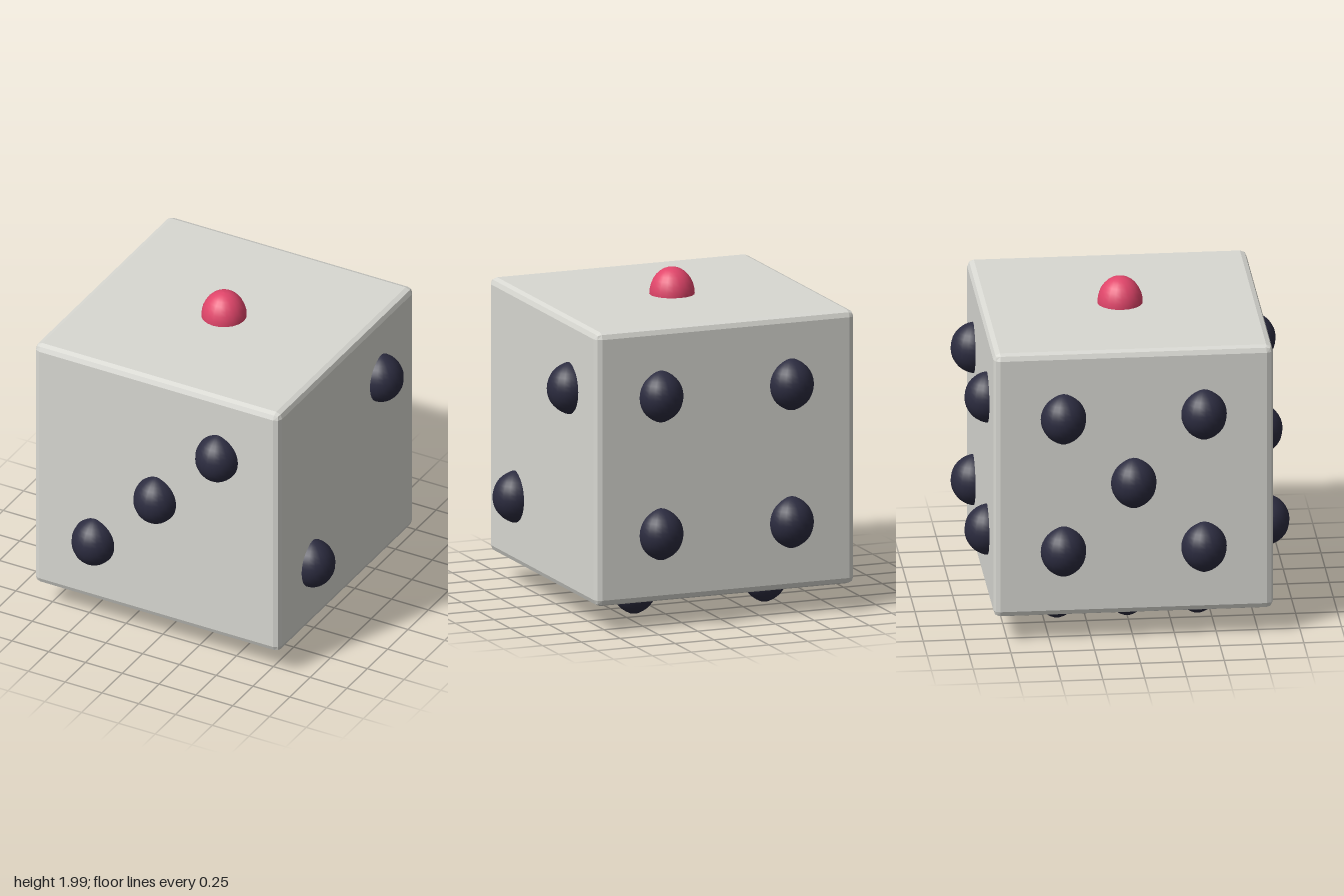
import * as THREE from 'three';
import { RoundedBoxGeometry } from 'three/addons/geometries/RoundedBoxGeometry.js';

const HALF = 0.835, CENTRE = 1.003, STEP = 0.42;

// Upright egg-like bead; tip adds a slight point at both poles
function beadGeometry(radius, height, tip) {
  const profile = [];
  for (let i = 0; i <= 16; i++) {
    const a = Math.PI * i / 16, c = Math.cos(a);
    const y = -c * (height - tip) - Math.sign(c) * tip * Math.abs(c) ** 16;
    profile.push(new THREE.Vector2(Math.max(0, radius * Math.sin(a)), y));
  }
  return new THREE.LatheGeometry(profile, 20);
}

export function createModel() {
  const group = new THREE.Group();
  const ivory = new THREE.MeshStandardMaterial({ color: 0xd8d8d2, flatShading: true });
  const navy = new THREE.MeshStandardMaterial({ color: 0x2c2c40 });
  const red = new THREE.MeshStandardMaterial({ color: 0xe0456a });

  // Cube with a narrow two-band bevel
  const body = new THREE.Mesh(new RoundedBoxGeometry(HALF * 2, HALF * 2, HALF * 2, 1, 0.04), ivory);
  body.name = 'body';
  body.position.y = CENTRE;
  group.add(body);

  // Pips sit half sunk in each face; positions are in pip steps
  const dark = beadGeometry(0.136, 0.158, 0.009);
  const corners = [[-1, -1], [-1, 1], [1, -1], [1, 1]];
  const faces = [
    { name: 'topPip', pips: [[0, 0]], at: (u, v) => [u, HALF, v], geo: beadGeometry(0.136, 0.162, 0), mat: red },
    { name: 'leftPip', pips: [[-1, 1], [1, -1]], at: (u, v) => [HALF, v, u] },
    { name: 'frontPip', pips: [[-1, -1], [0, 0], [1, 1]], at: (u, v) => [u, v, HALF] },
    { name: 'backPip', pips: corners, at: (u, v) => [u, v, -HALF] },
    { name: 'rightPip', pips: [...corners, [0, 0]], at: (u, v) => [-HALF, v, u] },
    { name: 'bottomPip', pips: [...corners, [-1, 0], [1, 0]], at: (u, v) => [u, -HALF, v] },
  ];
  for (const { name, pips, at, geo = dark, mat = navy } of faces) {
    pips.forEach(([u, v], i) => {
      const pip = new THREE.Mesh(geo, mat);
      pip.name = name + (i + 1);
      pip.position.set(...at(u * STEP, v * STEP));
      pip.position.y += CENTRE;
      group.add(pip);
    });
  }
  return group;
}
